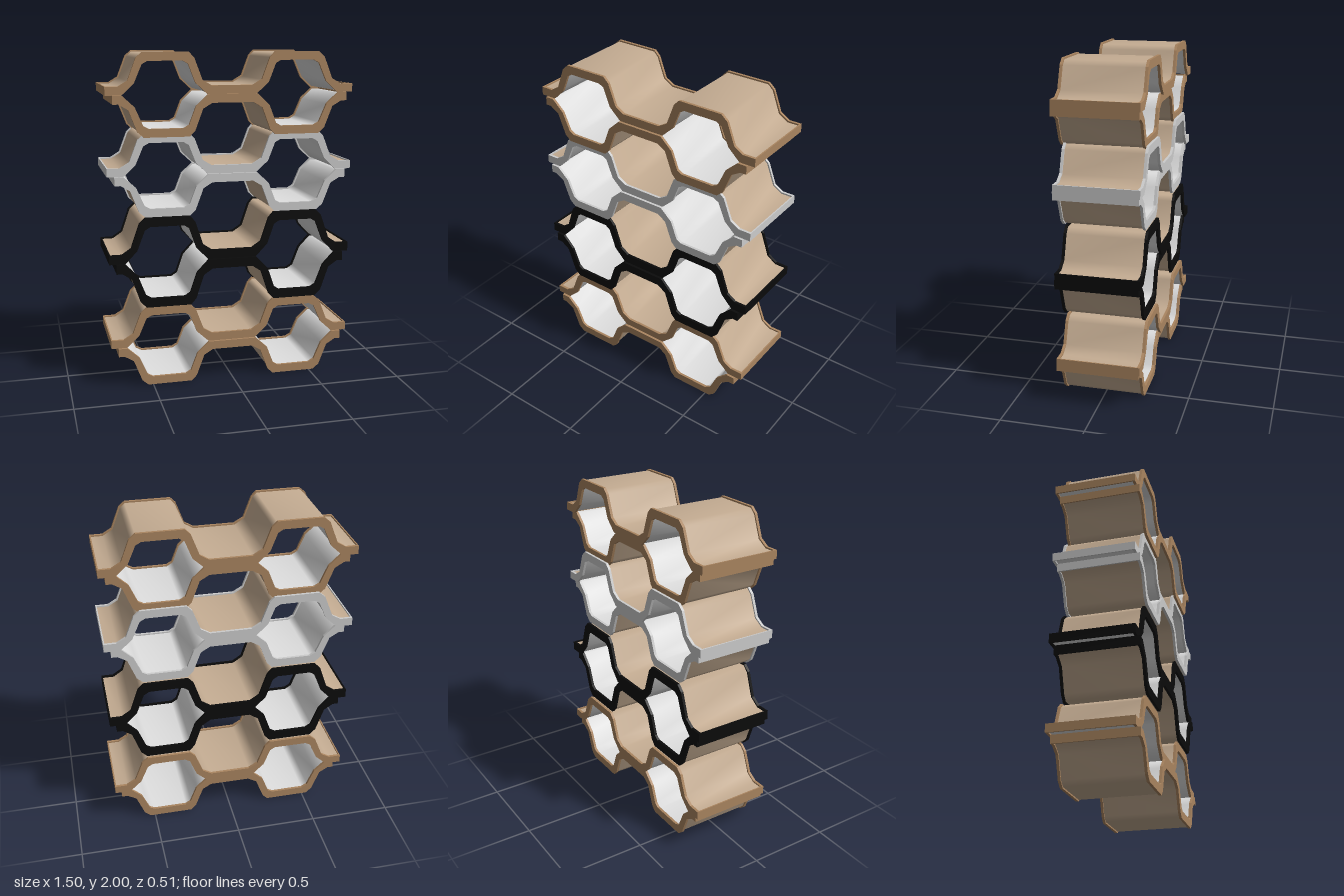
import * as THREE from 'three';

const mat = (name, color, side = THREE.FrontSide) => {
  const m = new THREE.MeshStandardMaterial({ color, side });
  m.name = name;
  return m;
};

// Half of the wave, from the centre outwards: outer and inner edge of the band
const OUTER = [[0.125, 0.05], [0.18, 0.083], [0.228, 0.211], [0.26, 0.243],
  [0.53, 0.243], [0.567, 0.211], [0.617, 0.083], [0.672, 0.05]];
const INNER = [[0.15, 0], [0.222, 0.067], [0.264, 0.175], [0.295, 0.193],
  [0.5, 0.193], [0.533, 0.175], [0.58, 0.067], [0.652, 0]];
const FLAT = 0.05;   // band thickness
const RIM = 0.016;   // rim width in z
const LIP = 0.009;   // how far the sheets sit below the rim
const LENGTH = 0.494;

// Full edge line from left to right, flipped in y when s is -1
function edgeLine(half, end, stretch, s) {
  const right = [...half, [end, half[half.length - 1][1]]];
  const left = right.map(([x, y]) => [-x, y]).reverse();
  return [...left, ...right].map(([x, y]) => new THREE.Vector2(x, y * stretch * s));
}

// Moves a line along its upward normals
function offsetLine(pts, d) {
  return pts.map((p, i) => {
    const a = pts[Math.max(i - 1, 0)], b = pts[Math.min(i + 1, pts.length - 1)];
    const t = b.clone().sub(a).normalize();
    return new THREE.Vector2(i % (pts.length - 1) ? p.x - t.y * d : p.x, p.y + t.x * d);
  });
}

// Smooth sheet swept along z, facing up or down
function sheet(pts, z0, z1, up) {
  const pos = [], idx = [];
  pts.forEach((p, i) => {
    pos.push(p.x, p.y, z0, p.x, p.y, z1);
    if (i === pts.length - 1) return;
    const a = i * 2, b = a + 1, c = a + 3, d = a + 2;
    if (up) idx.push(a, b, c, a, c, d);
    else idx.push(a, c, b, a, d, c);
  });
  const g = new THREE.BufferGeometry();
  g.setAttribute('position', new THREE.Float32BufferAttribute(pos, 3));
  g.setIndex(idx);
  g.computeVertexNormals();
  return g;
}

export function createModel() {
  const model = new THREE.Group();
  model.name = 'waveShelf';
  const tan = mat('tan sheet', 0xc4ac92);
  const white = mat('white lining', 0xdedede);
  const brown = mat('brown rim', 0xaa8560);
  const grey = mat('grey rim', 0xcccccc);
  const black = mat('black rim', 0x0b0b0b);

  // One wavy panel: s = 1 arches up, s = -1 hangs down
  function panel(name, rimMat, s, stretch) {
    const g = new THREE.Group();
    g.name = name;
    const add = (geo, m, part) => {
      const mesh = new THREE.Mesh(geo, m);
      mesh.name = part;
      g.add(mesh);
      return mesh;
    };
    const end = s > 0 ? 0.748 : 0.707;
    const z0 = s > 0 ? -0.255 : -0.239, z1 = z0 + LENGTH;
    const outer = edgeLine(OUTER, end, stretch, s);
    const inner = edgeLine(INNER, end, stretch, s);

    // Rims at the front and the back
    const band = new THREE.Shape([...outer, ...inner.slice().reverse()]);
    const rimGeo = new THREE.ExtrudeGeometry(band, { depth: RIM, bevelEnabled: false });
    add(rimGeo, rimMat, 'backRim').position.z = z0;
    add(rimGeo, rimMat, 'frontRim').position.z = z1 - RIM;

    // Tan outside and white cell lining
    const a = z0 + RIM / 2, b = z1 - RIM / 2;
    add(sheet(offsetLine(outer, -s * LIP), a, b, s > 0), tan, 'outerSheet');
    add(sheet(offsetLine(inner, s * LIP), a, b, s < 0), white, 'innerSheet');

    // Edge strips at both sides
    const t = FLAT * stretch;
    const strip = new THREE.BoxGeometry(0.008, t, LENGTH - RIM);
    for (const side of [-1, 1]) {
      add(strip, rimMat, side > 0 ? 'leftEdgeStrip' : 'rightEdgeStrip')
        .position.set(side * (end - 0.004), s * t / 2, (z0 + z1) / 2);
    }
    return g;
  }

  // Four rows, each a pair of panels meeting at height y
  const rows = [
    ['topRow', 1.757, brown, 1],
    ['greyRow', 1.288, grey, 1],
    ['blackRow', 0.765, black, 1.125],
    ['bottomRow', 0.243, brown, 1],
  ];
  for (const [name, y, rimMat, stretch] of rows) {
    const row = new THREE.Group();
    row.name = name;
    row.position.y = y;
    row.add(panel('upperPanel', rimMat, 1, stretch), panel('lowerPanel', rimMat, -1, stretch));
    model.add(row);
  }
  return model;
}
